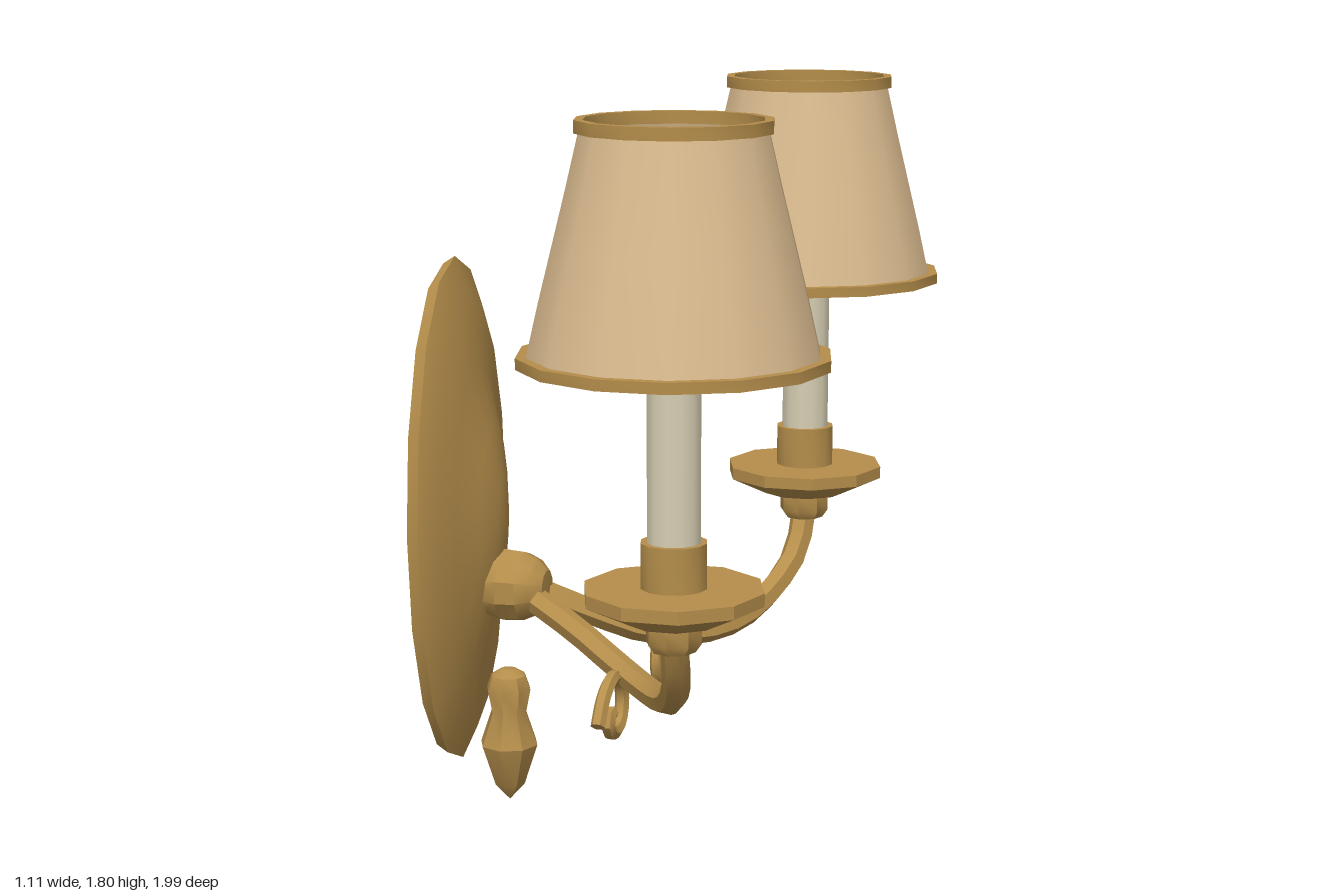
import * as THREE from 'three';
import { toCreasedNormals } from 'three/addons/utils/BufferGeometryUtils.js';

const brass = new THREE.MeshStandardMaterial({ color: 0xb58e4b });
brass.name = 'brass';
const fabric = new THREE.MeshStandardMaterial({ color: 0xdabb8f, side: THREE.DoubleSide });
fabric.name = 'shade fabric';
const ivory = new THREE.MeshStandardMaterial({ color: 0xd8cfb4 });
ivory.name = 'candle ivory';

const CREASE = 0.6;
const V = (p) => new THREE.Vector3(...p);

// Profile of [radius, height] pairs, bottom to top, with a corner on the x axis
function turned(profile, sides) {
  const points = profile.map(([r, y]) => new THREE.Vector2(r, y));
  return new THREE.LatheGeometry(points, sides, Math.PI / 2);
}

function add(parent, name, geometry, material) {
  const mesh = new THREE.Mesh(geometry, material);
  mesh.name = name;
  parent.add(mesh);
  return mesh;
}

// Rod along a smooth curve, closed at both ends
function rod(parent, name, points, radius, steps) {
  const curve = new THREE.CatmullRomCurve3(points.map(V));
  const group = new THREE.Group();
  group.name = name;
  const tube = new THREE.TubeGeometry(curve, steps, radius, 6);
  add(group, name + 'Rod', toCreasedNormals(tube, CREASE), brass);
  for (const t of [0, 1]) {
    const cap = add(group, name + 'End', new THREE.CircleGeometry(radius, 6), brass);
    const at = curve.getPointAt(t);
    const out = curve.getTangentAt(t).multiplyScalar(t ? 1 : -1);
    cap.position.copy(at);
    cap.lookAt(at.clone().add(out));
  }
  parent.add(group);
}

// Closed band around the shade
const band = (rOut, rIn, y0, y1) => toCreasedNormals(
  turned([[rOut, y0], [rOut, y1], [rIn, y1], [rIn, y0], [rOut, y0]], 14), CREASE);

// Candle, drip dish, bulb and shade around one vertical axis
function lamp(z) {
  const g = new THREE.Group();
  g.name = 'lamp';
  g.position.set(0.208, 0, z);
  const metal = (name, profile, sides) =>
    add(g, name, toCreasedNormals(turned(profile, sides), CREASE), brass);

  metal('armSocket', [[0, 0.63], [0.05, 0.63], [0.064, 0.65], [0.064, 0.69], [0.045, 0.715]], 8);
  metal('dripDish', [[0, 0.70], [0.11, 0.70], [0.205, 0.745], [0.205, 0.775], [0, 0.775]], 10);
  metal('candleCup', [[0.075, 0.77], [0.075, 0.878], [0, 0.878]], 12);
  add(g, 'candle', turned([[0.061, 0.87], [0.061, 1.44]], 12), ivory);
  add(g, 'bulb', turned([[0.061, 1.44], [0.068, 1.50], [0.066, 1.56], [0.05, 1.64],
    [0.025, 1.70], [0, 1.76]], 10), fabric);
  add(g, 'shade', turned([[0.325, 1.28], [0.295, 1.41], [0.265, 1.53], [0.235, 1.65], [0.203, 1.785]], 14), fabric);
  add(g, 'lowerBand', band(0.345, 0.316, 1.27, 1.295), brass);
  add(g, 'upperBand', band(0.216, 0.196, 1.77, 1.798), brass);
  return g;
}

export function createModel() {
  const model = new THREE.Group();
  model.name = 'wallLamp';

  // Domed oval wall plate, facing +x
  const plate = turned([[0, -0.56], [0.97, -0.56], [1, -0.53], [0.85, -0.493], [0.6, -0.475],
    [0.36, -0.435], [0.15, -0.413], [0, -0.408]], 16);
  plate.scale(0.645, 1, 0.295).rotateZ(-Math.PI / 2);
  add(model, 'wallPlate', toCreasedNormals(plate, CREASE), brass).position.y = 0.745;

  // Hub where the arms meet
  const hub = turned([[0.075, -0.46], [0.092, -0.41], [0.088, -0.36], [0.072, -0.325],
    [0.045, -0.3], [0, -0.298]], 10).rotateZ(-Math.PI / 2);
  add(model, 'hub', toCreasedNormals(hub, CREASE), brass).position.y = 0.565;

  // Hanging drop below the hub
  const drop = turned([[0, 0], [0.04, 0.045], [0.075, 0.15], [0.046, 0.235], [0.058, 0.295],
    [0.045, 0.33], [0.02, 0.346], [0, 0.347]], 8);
  add(model, 'drop', toCreasedNormals(drop, CREASE), brass).position.x = -0.405;

  for (const s of [1, -1]) {
    const arm = [[-0.36, 0.56, 0.02], [-0.2, 0.485, 0.08], [-0.08, 0.43, 0.15], [0.03, 0.407, 0.26],
      [0.11, 0.42, 0.38], [0.17, 0.48, 0.52], [0.2, 0.55, 0.61], [0.208, 0.65, 0.66]];
    rod(model, 'arm', arm.map(([x, y, z]) => [x, y, z * s]), 0.033, 14);

    // Curled ornament under the arm, given as [z, y]
    const curl = [[0.36, 0.335], [0.315, 0.39], [0.24, 0.42], [0.175, 0.395], [0.155, 0.34],
      [0.18, 0.29], [0.23, 0.28], [0.275, 0.305], [0.27, 0.335], [0.245, 0.335]];
    rod(model, 'scroll', curl.map(([z, y]) => [-0.06, y, z * s]), 0.018, 20);

    model.add(lamp(0.66 * s));
  }
  return model;
}
